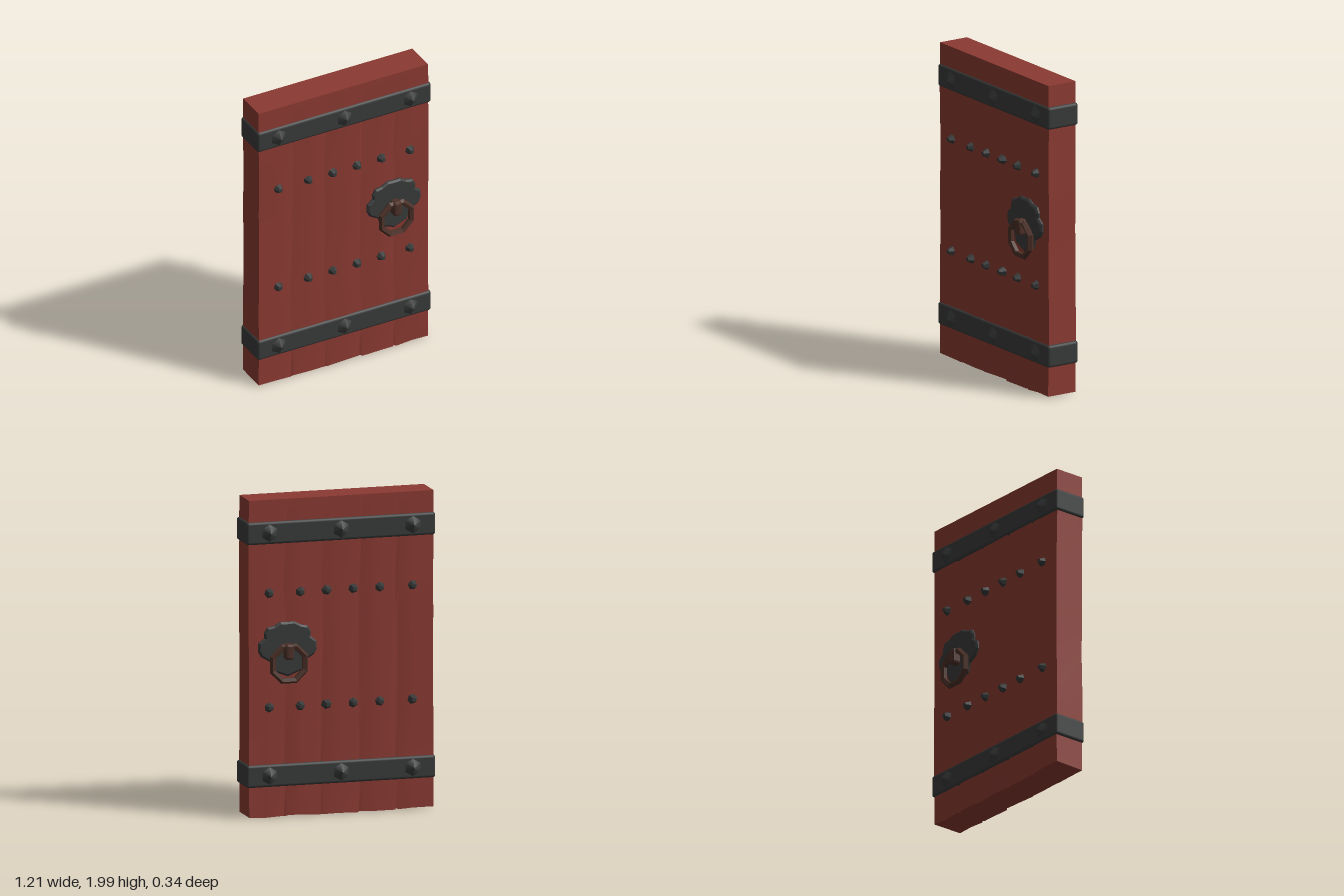
import * as THREE from 'three';
import { RoundedBoxGeometry } from 'three/addons/geometries/RoundedBoxGeometry.js';

const wood = new THREE.MeshStandardMaterial({ color: 0x8b3a32 });
wood.name = 'red wood';
const iron = new THREE.MeshStandardMaterial({ color: 0x383a39 });
iron.name = 'dark iron';
const rust = new THREE.MeshStandardMaterial({ color: 0x4d3128 });
rust.name = 'rusty iron';

function add(parent, name, geometry, material, x = 0, y = 0, z = 0) {
  const mesh = new THREE.Mesh(geometry, material);
  mesh.name = name;
  mesh.position.set(x, y, z);
  parent.add(mesh);
  return mesh;
}

function faceted(geometry) {
  const g = geometry.toNonIndexed();
  g.computeVertexNormals();
  return g;
}

// repeatable noise in -1..1 from grid indices
function noise(i, j, k) {
  const s = Math.sin(i * 127.1 + j * 311.7 + k * 74.7) * 43758.5453;
  return (s - Math.floor(s)) * 2 - 1;
}

// slab of five hand-hewn planks, with grooves that open and close along the height
function planksGeometry() {
  const xs = [-0.593], grooves = new Set();
  for (const seam of [-0.36, -0.125, 0.12, 0.355]) {
    xs.push(seam - 0.1, seam - 0.012);
    grooves.add(xs.length);
    xs.push(seam, seam + 0.012);
  }
  xs.push(0.48, 0.59);
  const ys = [0.015, 0.2, 0.35, 0.55, 0.8, 1.05, 1.25, 1.45, 1.72, 1.86, 2];
  const nx = xs.length - 1, ny = ys.length - 1;
  const g = new THREE.BoxGeometry(1, 1, 1, nx, ny, 1);
  const p = g.attributes.position;
  for (let v = 0; v < p.count; v++) {
    const i = Math.round((p.getX(v) + 0.5) * nx);
    const j = Math.round((p.getY(v) + 0.5) * ny);
    const side = Math.sign(p.getZ(v));
    const top = j >= ny - 1;
    let depth = 0.1 + (top ? 0 : 0.003 * noise(i, j, side));
    if (grooves.has(i) && !top) depth -= 0.01 + 0.006 * noise(i, j, side + 5);
    const x = xs[i] + (i === 0 || i === nx ? 0.003 * noise(i, j, 3) : 0);
    const y = ys[j] + (j === 0 ? 0.006 * noise(i, 1, side) : 0);
    p.setXYZ(v, x, y, side * depth);
  }
  g.computeVertexNormals();
  return g;
}

// scalloped backing plate, right half mirrored to the left
function plateGeometry() {
  const half = [[0, 0.185], [0.045, 0.187], [0.085, 0.165], [0.13, 0.155], [0.15, 0.12], [0.148, 0.09],
    [0.185, 0.06], [0.188, 0.01], [0.17, -0.025], [0.11, -0.06], [0.09, -0.12], [0, -0.155]];
  const left = half.slice(1, -1).reverse().map(([x, y]) => [-x, y]);
  const shape = new THREE.Shape([...half, ...left].map(([x, y]) => new THREE.Vector2(x, y)));
  return new THREE.ExtrudeGeometry(shape, {
    depth: 0.012, bevelEnabled: true, bevelThickness: 0.01, bevelSize: 0.012, bevelOffset: -0.012, bevelSegments: 1,
  });
}

// fittings of one face; side is 1 for the front and -1 for the back
function fittings(side, name) {
  const face = new THREE.Group();
  face.name = name;
  if (side < 0) face.rotation.y = Math.PI;

  // two rows of studs
  const stud = faceted(new THREE.CylinderGeometry(0.014, 0.036, 0.042, 6).rotateX(Math.PI / 2));
  for (const y of [0.7, 1.415]) {
    [-0.46, -0.25, -0.08, 0.09, 0.26, 0.46].forEach((x, i) => {
      add(face, 'stud', stud, iron, x * side, y, 0.113).rotation.z = i * 0.7 + y;
    });
  }

  // low bosses on the straps
  const boss = new THREE.ConeGeometry(0.062, 0.036, 6).rotateX(Math.PI / 2);
  for (const y of [0.273, 1.793]) {
    for (const x of [-0.46, 0, 0.46]) add(face, 'strapBoss', boss, iron, x * side, y, 0.126);
  }

  // knocker: plate, clasp and hanging ring
  const knocker = new THREE.Group();
  knocker.name = 'knocker';
  knocker.position.set(0.345 * side, 1.045, 0);
  face.add(knocker);
  add(knocker, 'knockerPlate', plateGeometry(), iron, 0, 0, 0.098);
  const ring = add(knocker, 'knockerRing', faceted(new THREE.TorusGeometry(0.112, 0.021, 5, 8)), rust, 0, -0.07, 0.141);
  ring.rotation.z = Math.PI / 8;
  add(knocker, 'ringClasp', faceted(new RoundedBoxGeometry(0.056, 0.1, 0.07, 1, 0.015)), rust, 0, 0.006, 0.136);
  return face;
}

export function createModel() {
  const door = new THREE.Group();
  door.name = 'door';
  add(door, 'planks', planksGeometry(), wood);
  // iron straps wrapped round the slab
  const strap = new RoundedBoxGeometry(1.214, 0.143, 0.225, 2, 0.018);
  add(door, 'lowerStrap', strap, iron, 0, 0.273, 0);
  add(door, 'upperStrap', strap, iron, 0, 1.793, 0);
  door.add(fittings(1, 'frontFittings'), fittings(-1, 'backFittings'));
  return door;
}
